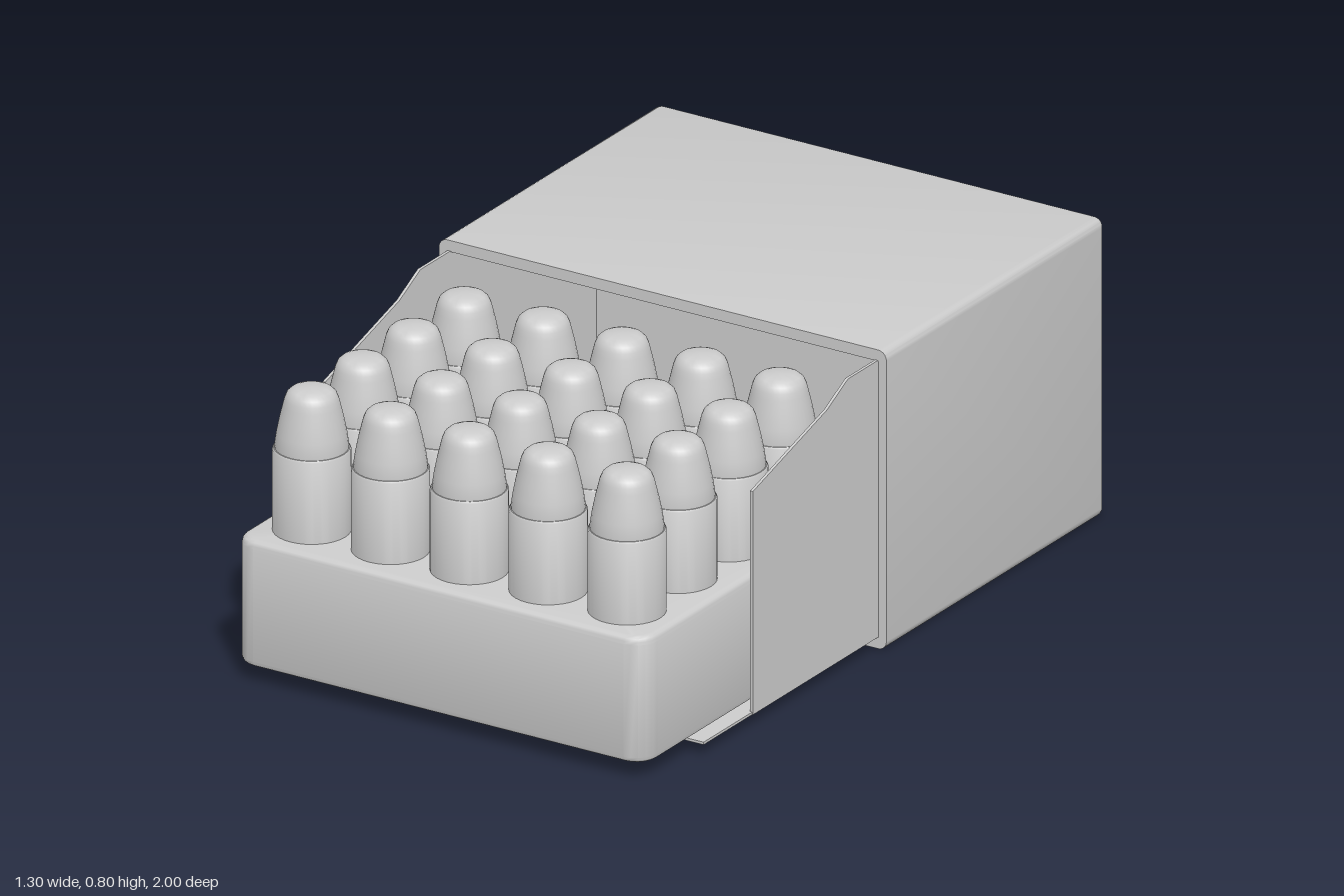
import * as THREE from 'three';
import { toCreasedNormals } from 'three/addons/utils/BufferGeometryUtils.js';

const material = new THREE.MeshStandardMaterial({ color: 0xcccccc, side: THREE.DoubleSide });

// Rounded rectangle ring, counter-clockwise seen from +z
function ring(hw, hh, r, z, steps = 5) {
  const points = [];
  [[1, 1], [-1, 1], [-1, -1], [1, -1]].forEach(([sx, sy], corner) => {
    for (let i = 0; i <= steps; i++) {
      const a = (corner + i / steps) * Math.PI / 2;
      points.push([sx * (hw - r) + r * Math.cos(a), sy * (hh - r) + r * Math.sin(a), z]);
    }
  });
  return points;
}

// Skin a series of rings with equal point counts
function loft(rings, crease = 0.6) {
  const n = rings[0].length, index = [];
  for (let k = 0; k < rings.length - 1; k++) {
    for (let i = 0; i < n; i++) {
      const j = (i + 1) % n, a = k * n, b = a + n;
      index.push(a + i, a + j, b + j, a + i, b + j, b + i);
    }
  }
  const geometry = new THREE.BufferGeometry();
  geometry.setAttribute('position', new THREE.Float32BufferAttribute(rings.flat(2), 3));
  geometry.setIndex(index);
  return toCreasedNormals(geometry, crease);
}

// Rings of a rounded end edge of radius e
function edge(hw, hh, r, z, e, closing) {
  const rings = [];
  for (let i = 0; i <= 4; i++) {
    const a = (closing ? i : 4 - i) / 4 * Math.PI / 2;
    const inset = e * (1 - Math.cos(a));
    rings.push(ring(hw - inset, hh - inset, r - inset, z + (closing ? 1 : -1) * e * Math.sin(a)));
  }
  return rings;
}

function add(parent, name, geometry, x = 0, y = 0, z = 0) {
  const mesh = new THREE.Mesh(geometry, material);
  mesh.name = name;
  mesh.position.set(x, y, z);
  parent.add(mesh);
  return mesh;
}

export function createModel() {
  const model = new THREE.Group();
  model.name = 'cartridgeBox';

  // Outer shell, open at the front
  const hw = 0.65, hh = 0.398;
  add(model, 'outerShell', loft([
    ring(0, 0, 0, -1),
    ...edge(hw, hh, 0.024, -0.98, 0.02, false),
    ring(hw, hh, 0.024, -0.01),
    ring(hw - 0.023, hh - 0.03, 0.002, -0.01),
    ring(hw - 0.023, hh - 0.03, 0.002, -0.975),
    ring(0, 0, 0, -0.975),
  ]), 0, hh, 0);

  // Sliding sleeve: floor, back panel and two cut-away sides
  const sleeve = new THREE.Group();
  sleeve.name = 'innerSleeve';
  model.add(sleeve);
  const back = -0.68;
  add(sleeve, 'sleeveFloor', new THREE.BoxGeometry(1.246, 0.007, 0.775 - back), 0, 0.0335, (0.775 + back) / 2);
  add(sleeve, 'sleeveBack', new THREE.BoxGeometry(1.24, 0.735, 0.008), 0, 0.4, back + 0.004);
  const profile = new THREE.Shape([
    [back, 0.03], [0.555, 0.03], [0.555, 0.625], [0.22, 0.72], [0.125, 0.768], [back, 0.768],
  ].map(([z, y]) => new THREE.Vector2(z, y)));
  const side = new THREE.ExtrudeGeometry(profile, { depth: 0.008, bevelEnabled: false });
  side.rotateY(-Math.PI / 2);
  add(sleeve, 'sleeveLeft', side, 0.625);
  add(sleeve, 'sleeveRight', side, -0.617);

  // Tray block with softened edges
  const tw = 0.598, td = 0.484, tr = 0.06;
  const tray = loft([
    ring(0, 0, 0, 0.045),
    ...edge(tw, td, tr, 0.06, 0.015, false),
    ...edge(tw, td, tr, 0.36, 0.02, true),
    ring(0, 0, 0, 0.38),
  ]);
  tray.rotateX(-Math.PI / 2);
  add(model, 'tray', tray, -0.003, 0, 0.516);

  // Cartridges: straight case with a tapered, blunt nose
  const lathe = (points) => toCreasedNormals(new THREE.LatheGeometry(
    points.map(([r, y]) => new THREE.Vector2(r, y)), 32), 0.6);
  const casing = lathe([[0, 0.041], [0.094, 0.041], [0.097, 0.046], [0.097, 0.595], [0.094, 0.6], [0.088, 0.6]]);
  const nose = lathe([
    [0.091, 0.595], [0.092, 0.605], [0.087, 0.64], [0.079, 0.68], [0.071, 0.713], [0.067, 0.729],
    [0.061, 0.743], [0.051, 0.752], [0.038, 0.757], [0, 0.758],
  ]);
  for (let row = 0; row < 4; row++) {
    for (let col = 0; col < 5; col++) {
      const cartridge = new THREE.Group();
      cartridge.name = 'cartridge';
      cartridge.position.set(-0.464 + col * 0.229, 0, 0.165 + row * 0.23);
      add(cartridge, 'casing', casing);
      add(cartridge, 'nose', nose);
      model.add(cartridge);
    }
  }
  return model;
}
